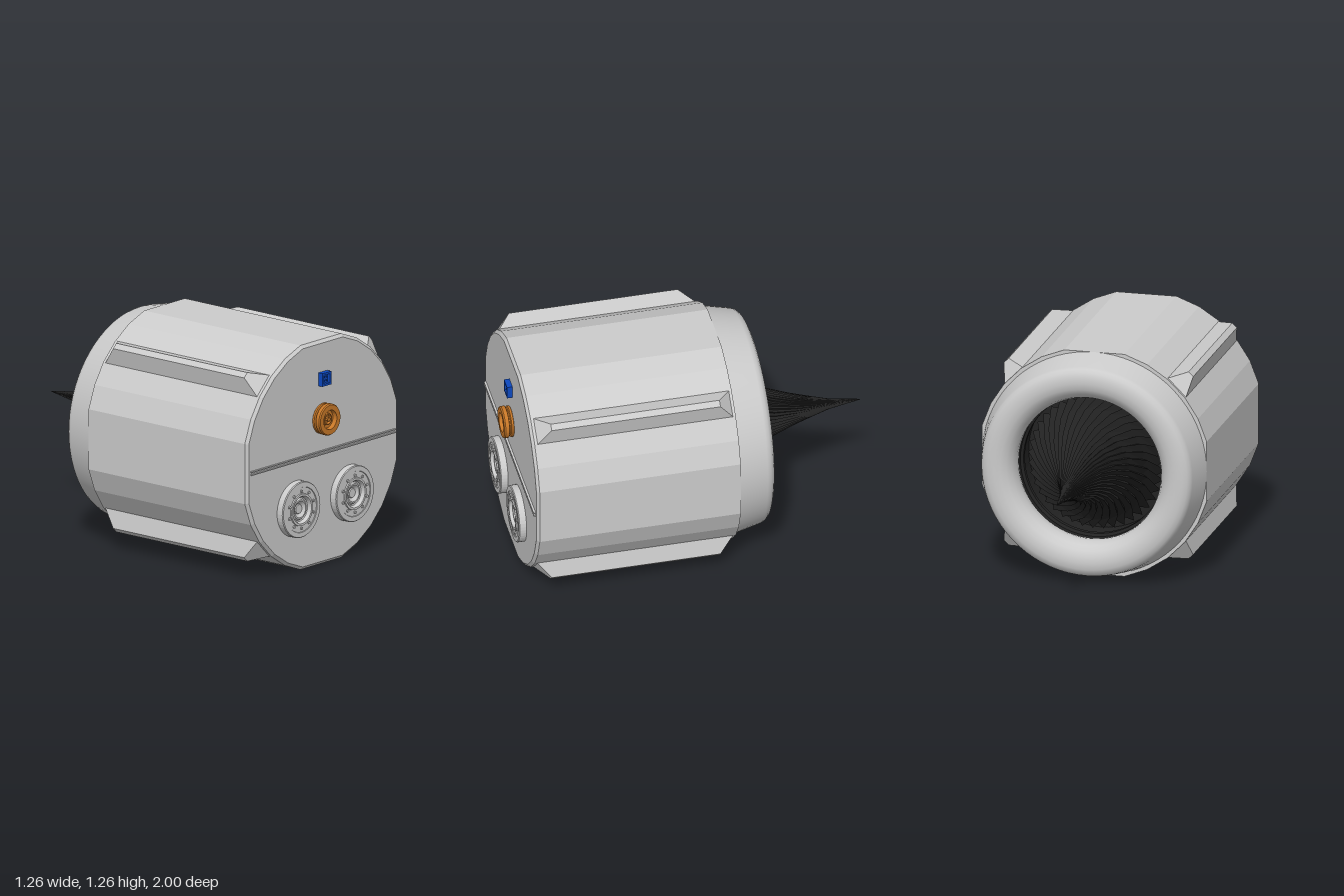
import * as THREE from 'three';

const CY = 0.635; // height of the main axis
const mat = (color, extra = {}) => new THREE.MeshStandardMaterial({ color, ...extra });
const grey = mat(0xcccccc);
const greyFlat = mat(0xcccccc, { flatShading: true });
const dark = mat(0x222222, { flatShading: true, side: THREE.DoubleSide });
const orange = mat(0xc87828, { flatShading: true });
const blue = mat(0x0c48c0);

function add(parent, name, geometry, material, x = 0, y = 0, z = 0) {
  const mesh = new THREE.Mesh(geometry, material);
  mesh.name = name;
  mesh.position.set(x, y, z);
  parent.add(mesh);
  return mesh;
}

// Lathe around the z axis from [radius, z] pairs
function latheZ(pairs, segments = 48) {
  return new THREE.LatheGeometry(pairs.map(p => new THREE.Vector2(...p)), segments).rotateX(Math.PI / 2);
}

// Circle with four flats: 12 degree facets between them
function hullShape() {
  const shape = new THREE.Shape();
  for (let q = 0; q < 4; q++) {
    for (let i = 0; i <= 5; i++) {
      const a = THREE.MathUtils.degToRad(q * 90 + 15 + i * 12);
      const x = 0.652 * Math.cos(a), y = 0.652 * Math.sin(a);
      if (q + i === 0) shape.moveTo(x, y); else shape.lineTo(x, y);
    }
  }
  shape.closePath();
  return shape;
}

// Tapered rail on the diagonal: radial = +x, across = y, length = z
function finGeometry() {
  const ring = (r, w, z0, z1) => [[r, -w, z0], [r, w, z0], [r, w, z1], [r, -w, z1]];
  const pts = [...ring(0.63, 0.083, -0.19, 0.93), ...ring(0.732, 0.018, -0.1, 0.84)];
  const index = [4, 5, 6, 4, 6, 7];
  for (let i = 0; i < 4; i++) {
    const j = (i + 1) % 4;
    index.push(i, j, j + 4, i, j + 4, i + 4);
  }
  const g = new THREE.BufferGeometry();
  g.setAttribute('position', new THREE.Float32BufferAttribute(pts.flat(), 3));
  g.setIndex(index);
  const flat = g.toNonIndexed();
  flat.computeVertexNormals();
  return flat;
}

// Fluted, swirling cone that flares into a toothed rim
function spikeGeometry() {
  const profile = [[0.002, -1], [0.014, -0.92], [0.03, -0.82], [0.058, -0.72], [0.088, -0.62],
    [0.13, -0.5], [0.18, -0.4], [0.24, -0.31], [0.31, -0.22], [0.385, -0.14]];
  const teeth = 40, cols = teeth * 2, pos = [], index = [];
  profile.forEach(([r, z], k) => {
    const t = k / (profile.length - 1);
    for (let i = 0; i < cols; i++) {
      const valley = i % 2;
      const rr = r * (valley ? 0.93 - 0.04 * t : 1);
      const a = (i + valley * 0.45) / cols * Math.PI * 2 + t * t * 1.0;
      pos.push(rr * Math.cos(a), rr * Math.sin(a), z);
    }
    if (k === 0) return;
    for (let i = 0; i < cols; i++) {
      const j = (i + 1) % cols, a = (k - 1) * cols, b = k * cols;
      index.push(a + i, b + i, b + j, a + i, b + j, a + j);
    }
  });
  const g = new THREE.BufferGeometry();
  g.setAttribute('position', new THREE.Float32BufferAttribute(pos, 3));
  g.setIndex(index);
  g.computeVertexNormals();
  return g;
}

function createPort() {
  const port = new THREE.Group();
  port.name = 'port';
  add(port, 'portFlange', latheZ([[0.157, 0.94], [0.157, 0.982], [0.153, 0.987], [0.127, 0.987],
    [0.125, 0.983], [0.091, 0.983], [0.089, 0.99], [0.077, 0.99], [0.073, 0.985], [0.069, 0.968],
    [0.062, 0.965], [0.054, 0.975], [0.046, 0.975], [0.028, 0.96], [0.025, 0.966], [0, 0.966]]), greyFlat);
  const bolt = new THREE.CylinderGeometry(0.008, 0.008, 0.012, 10).rotateX(Math.PI / 2);
  for (let i = 0; i < 10; i++) {
    const a = Math.PI / 2 + i * Math.PI / 5;
    add(port, 'portBolt', bolt, grey, 0.104 * Math.cos(a), 0.104 * Math.sin(a), 0.984);
  }
  return port;
}

export function createModel() {
  const model = new THREE.Group();
  model.name = 'model';

  // Hull: hollow barrel and bevelled front plate
  const barrel = hullShape();
  barrel.holes.push(new THREE.Path().absarc(0, 0, 0.45, 0, Math.PI * 2, true));
  add(model, 'hullBarrel', new THREE.ExtrudeGeometry(barrel,
    { depth: 1.12, bevelEnabled: false, curveSegments: 24 }), grey, 0, CY, -0.19);
  add(model, 'frontPlate', new THREE.ExtrudeGeometry(hullShape(),
    { depth: 0.01, bevelThickness: 0.015, bevelSize: 0.017, bevelOffset: -0.017, bevelSegments: 1 }),
    grey, 0, CY, 0.92);

  // Corner rails on the four diagonals
  const fin = finGeometry();
  for (let i = 0; i < 4; i++) {
    add(model, 'cornerRail', fin, grey, 0, CY, 0).rotation.z = Math.PI / 4 + i * Math.PI / 2;
  }

  // Rounded rear intake lip and its dark lining
  add(model, 'intakeLip', latheZ([[0.42, -0.2], [0.405, -0.27], [0.405, -0.31], [0.42, -0.35],
    [0.445, -0.378], [0.475, -0.394], [0.51, -0.4], [0.545, -0.397], [0.57, -0.386], [0.585, -0.37],
    [0.593, -0.35], [0.63, -0.19]], 72), grey, 0, CY, 0);
  add(model, 'intakeLining', latheZ([[0, -0.03], [0.41, -0.03], [0.41, -0.16], [0.395, -0.17],
    [0.395, -0.2], [0.41, -0.21], [0.408, -0.28]], 64), dark, 0, CY, 0);
  add(model, 'intakeSpike', spikeGeometry(), dark, 0, CY, 0);

  // Front seam: two thin ribs
  for (const y of [0.627, 0.643]) {
    add(model, 'seamRib', new THREE.BoxGeometry(1.2, 0.006, 0.02), grey, 0, y, 0.947);
  }

  // Pair of round ports
  for (const side of [-1, 1]) {
    const port = createPort();
    port.position.set(side * 0.222, 0.362, 0);
    model.add(port);
  }

  // Grooved coupling with a stepped recess and hex core
  add(model, 'coupling', latheZ([[0.08, 0.94], [0.086, 0.947], [0.086, 0.958], [0.077, 0.962],
    [0.077, 0.968], [0.088, 0.972], [0.088, 0.993], [0.083, 1], [0.054, 1], [0.05, 0.975],
    [0.034, 0.975], [0.032, 0.985], [0.026, 0.985], [0.024, 0.97], [0, 0.97]]), orange, 0, 0.825, 0);
  add(model, 'couplingCore', new THREE.CylinderGeometry(0.012, 0.012, 0.02, 6).rotateX(Math.PI / 2),
    orange, 0, 0.825, 0.98);

  // Square socket: frame, recessed floor and four pins
  const frame = new THREE.Shape();
  const square = (path, h) => path.moveTo(-h, -h).lineTo(h, -h).lineTo(h, h).lineTo(-h, h).closePath();
  square(frame, 0.037);
  const opening = new THREE.Path();
  square(opening, 0.025);
  frame.holes.push(opening);
  add(model, 'socketFrame', new THREE.ExtrudeGeometry(frame, { depth: 0.035, bevelEnabled: false }),
    blue, 0, 1.05, 0.94);
  add(model, 'socketFloor', new THREE.BoxGeometry(0.052, 0.052, 0.015), blue, 0, 1.05, 0.95);
  const pin = new THREE.CylinderGeometry(0.004, 0.004, 0.012, 8).rotateX(Math.PI / 2);
  for (const x of [-0.01, 0.01]) {
    for (const y of [-0.01, 0.01]) add(model, 'socketPin', pin, blue, x, 1.05 + y, 0.962);
  }
  return model;
}
